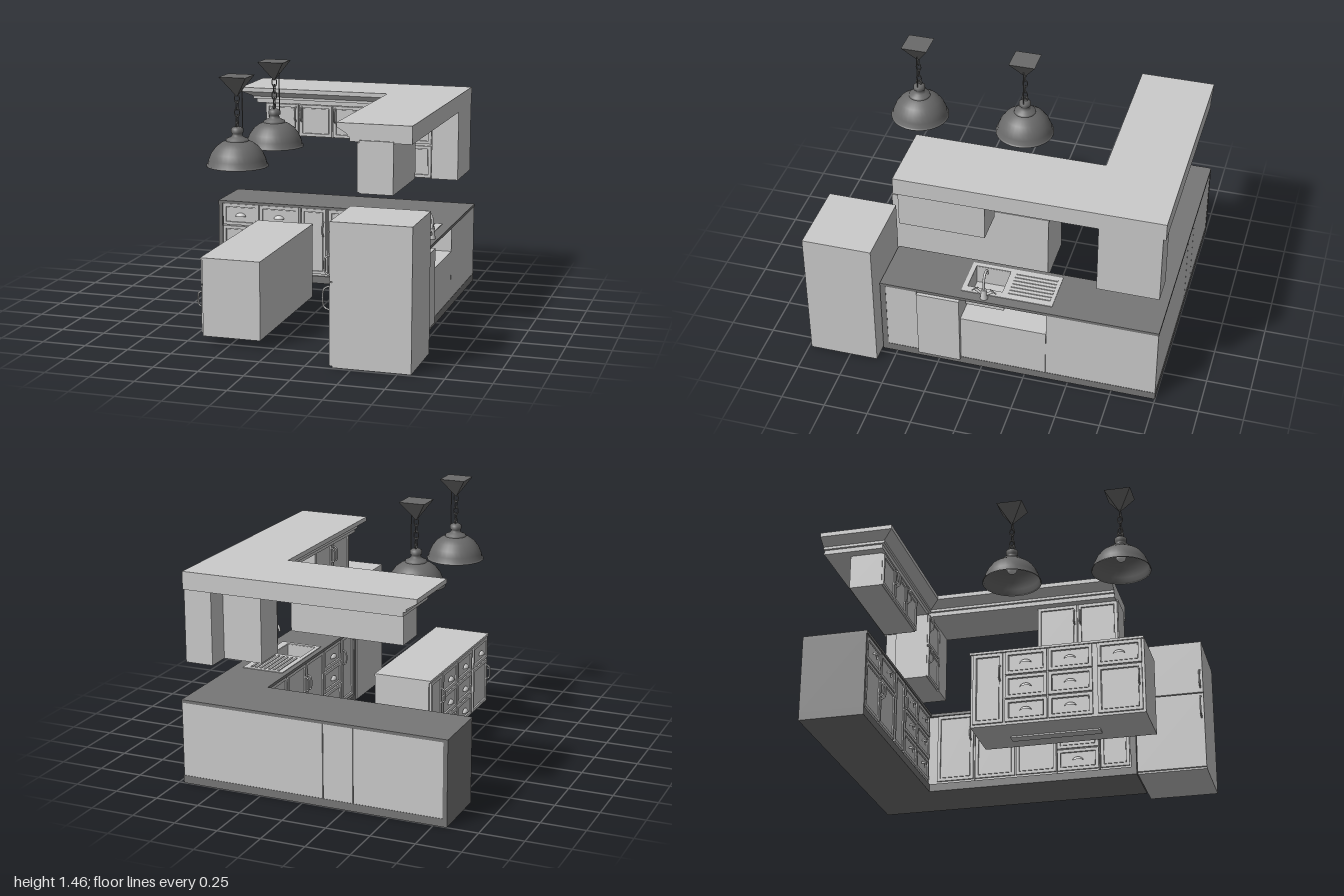
import * as THREE from 'three';

const light = new THREE.MeshStandardMaterial({ color: 0xcccccc });
const thin = new THREE.MeshStandardMaterial({ color: 0xcccccc, side: THREE.DoubleSide });
const dark = new THREE.MeshStandardMaterial({ color: 0x777777 });
const shadeMat = new THREE.MeshStandardMaterial({ color: 0x6a6a6a, side: THREE.DoubleSide });

function add(parent, name, geometry, material = light, x = 0, y = 0, z = 0) {
  const m = new THREE.Mesh(geometry, material);
  m.name = name;
  m.position.set(x, y, z);
  parent.add(m);
  return m;
}

// Box given by its limits on each axis
function box(parent, name, [x0, x1], [y0, y1], [z0, z1], material = light) {
  return add(parent, name, new THREE.BoxGeometry(x1 - x0, y1 - y0, z1 - z0), material,
    (x0 + x1) / 2, (y0 + y1) / 2, (z0 + z1) / 2);
}

function rectPath(x0, x1, y0, y1, Type = THREE.Path) {
  return new Type([[x0, y0], [x1, y0], [x1, y1], [x0, y1]].map(p => new THREE.Vector2(...p)));
}

// Horizontal slab from an outline of [x, z] points
function slab(parent, name, pts, y0, y1, material, holes = []) {
  const shape = new THREE.Shape(pts.map(([x, z]) => new THREE.Vector2(x, -z)));
  holes.forEach(([x0, x1, z0, z1]) => shape.holes.push(rectPath(x0, x1, -z1, -z0)));
  const g = new THREE.ExtrudeGeometry(shape, { depth: y1 - y0, bevelEnabled: false });
  return add(parent, name, g.rotateX(-Math.PI / 2), material, 0, y0, 0);
}

function cupHandle(parent, x, y) {
  const g = new THREE.SphereGeometry(1, 16, 6, 0, Math.PI, 0, Math.PI / 2).scale(0.033, 0.022, 0.022);
  add(parent, 'cupHandle', g, thin, x, y - 0.01, 0.012);
}

function barHandle(parent, x, y, h = 0.09, out = 0.025) {
  const pts = [[0, 0], [0.8, 0.12], [1, 0.5], [0.8, 0.88], [0, 1]]
    .map(([z, t]) => new THREE.Vector3(x, y + (t - 0.5) * h, 0.01 + z * out));
  add(parent, 'barHandle', new THREE.TubeGeometry(new THREE.CatmullRomCurve3(pts), 14, 0.005, 8), light);
}

// Framed door or drawer front, facing +z in its own space
function panelFront(parent, name, x0, x1, y0, y1, handle) {
  const w = 0.018, gap = 0.004;
  x0 += gap; x1 -= gap; y0 += gap; y1 -= gap;
  const shape = rectPath(x0, x1, y0, y1, THREE.Shape);
  shape.holes.push(rectPath(x0 + w, x1 - w, y0 + w, y1 - w));
  add(parent, name + 'Frame', new THREE.ExtrudeGeometry(shape, { depth: 0.012, bevelEnabled: false }));
  box(parent, name + 'Panel', [x0 + w + 0.004, x1 - w - 0.004], [y0 + w + 0.004, y1 - w - 0.004], [0, 0.007]);
  const cy = (y0 + y1) / 2;
  if (handle === 'cup') cupHandle(parent, (x0 + x1) / 2, cy);
  if (handle === 'left') barHandle(parent, x0 + 0.014, cy + (y1 - y0) * 0.2);
  if (handle === 'right') barHandle(parent, x1 - 0.014, cy + (y1 - y0) * 0.2);
}

// Group whose fronts face +z, or -x when turned (own x then runs along world z)
function face(parent, name, x, z, turned) {
  const g = new THREE.Group();
  g.name = name;
  g.position.set(x, 0, z);
  if (turned) g.rotation.y = -Math.PI / 2;
  parent.add(g);
  return g;
}

function drawerStack(f, x0, x1) {
  [[0.055, 0.19], [0.19, 0.33], [0.33, 0.47]].forEach(([a, b]) => panelFront(f, 'drawer', x0, x1, a, b, 'cup'));
}

function drawerOverDoor(f, x0, x1, side) {
  panelFront(f, 'drawer', x0, x1, 0.33, 0.47, 'cup');
  panelFront(f, 'door', x0, x1, 0.055, 0.33, side);
}

const lShape = (x0, x1, z0, z1, xi, zi) => [[x0, z0], [x1, z0], [x1, z1], [xi, z1], [xi, zi], [x0, zi]];

function baseUnits(root) {
  const g = new THREE.Group();
  g.name = 'baseUnits';
  root.add(g);
  slab(g, 'plinth', lShape(-0.825, 0.72, -1, 0.585, 0.385, -0.64), 0, 0.045, dark);
  slab(g, 'worktop', lShape(-0.825, 0.72, -1, 0.585, 0.38, -0.635), 0.468, 0.485, dark, [[0.43, 0.62, -0.1, 0.11]]);
  box(g, 'endPanel', [-0.825, -0.8], [0.045, 0.468], [-1, -0.64], dark);
  box(g, 'endPanel', [0.385, 0.72], [0.045, 0.468], [0.553, 0.585], dark);

  // Carcasses of the back run, then of the side run
  [[-0.8, -0.296], [-0.292, -0.122], [-0.118, 0.37], [0.37, 0.718]].forEach(r =>
    box(g, 'carcass', r, [0.045, 0.468], [-0.998, -0.652]));
  [[-0.652, -0.372], [0.374, 0.553]].forEach(r => box(g, 'carcass', [0.397, 0.718], [0.045, 0.468], r));
  box(g, 'drawerCarcass', [0.397, 0.738], [0.035, 0.465], [0.122, 0.368]);
  box(g, 'sinkCarcass', [0.397, 0.718], [0.045, 0.33], [-0.37, 0.12]);
  box(g, 'sinkApron', [0.397, 0.415], [0.33, 0.468], [-0.37, 0.12]);

  const back = face(g, 'backRunFronts', 0, -0.652);
  drawerOverDoor(back, -0.8, -0.56, 'right');
  drawerOverDoor(back, -0.56, -0.3, 'left');
  panelFront(back, 'pullOut', -0.29, -0.125, 0.055, 0.47, 'right');
  drawerStack(back, -0.115, 0.125);
  drawerStack(back, 0.125, 0.37);

  const side = face(g, 'sideRunFronts', 0.397, 0, true);
  panelFront(side, 'door', -0.6, -0.375, 0.055, 0.47, 'right');
  panelFront(side, 'door', -0.37, -0.125, 0.055, 0.47, 'right');
  panelFront(side, 'door', -0.125, 0.12, 0.055, 0.47, 'left');
  drawerStack(side, 0.12, 0.37);
  panelFront(side, 'door', 0.375, 0.55, 0.055, 0.47, 'left');
}

function sink(root) {
  const g = new THREE.Group();
  g.name = 'sink';
  root.add(g);
  const ring = (x0, x1, z0, z1) => [[x0, z0], [x1, z0], [x1, z1], [x0, z1]];
  slab(g, 'basinWalls', ring(0.424, 0.626, -0.106, 0.116), 0.37, 0.484, light, [[0.435, 0.615, -0.095, 0.105]]);
  box(g, 'basinFloor', [0.425, 0.625], [0.362, 0.372], [-0.105, 0.115]);
  slab(g, 'sinkRim', ring(0.41, 0.66, -0.39, 0.13), 0.485, 0.489, light, [[0.435, 0.615, -0.095, 0.105]]);
  for (let i = 0; i < 7; i++) {
    const x = 0.44 + i * 0.028;
    box(g, 'drainerRib', [x, x + 0.012], [0.489, 0.494], [-0.37, -0.13]);
  }
  // Tap with a tall curved spout and two levers
  const v = (x, y, z) => new THREE.Vector3(x, y, z);
  add(g, 'tapBase', new THREE.CylinderGeometry(0.014, 0.022, 0.06, 16), light, 0.685, 0.515, -0.01);
  const spout = new THREE.CatmullRomCurve3([v(0.685, 0.53, -0.01), v(0.685, 0.61, -0.01), v(0.66, 0.64, -0.01),
    v(0.62, 0.63, -0.01), v(0.61, 0.6, -0.01)]);
  add(g, 'tapSpout', new THREE.TubeGeometry(spout, 24, 0.007, 8), light);
  for (const s of [-1, 1]) {
    const arm = new THREE.LineCurve3(v(0.685, 0.505, -0.01), v(0.685, 0.54, -0.01 + s * 0.05));
    add(g, 'tapArm', new THREE.TubeGeometry(arm, 1, 0.008, 8), light);
    add(g, 'tapLever', new THREE.CylinderGeometry(0.004, 0.004, 0.045, 8), light, 0.685, 0.54, -0.01 + s * 0.052)
      .rotation.x = -s * 0.9;
  }
}

function wallUnits(root) {
  const g = new THREE.Group();
  g.name = 'wallUnits';
  root.add(g);
  box(g, 'backWallCabinet', [-0.52, 0.12], [0.91, 1.12], [-0.86, -0.672]);
  box(g, 'cornerCabinet', [0.305, 0.53], [0.7, 1.12], [-0.85, -0.652]);
  box(g, 'tallCornerCabinet', [0.53, 0.69], [0.7, 1.13], [-0.985, -0.64]);
  box(g, 'sideWallCabinet', [0.4, 0.59], [0.83, 1.12], [0.01, 0.5]);
  const back = face(g, 'backWallDoors', 0, -0.672);
  [-0.52, -0.307, -0.093].forEach((x, i) =>
    panelFront(back, 'door', x, x + 0.213, 0.91, 1.11, i ? 'left' : 'right'));
  const corner = face(g, 'cornerDoors', 0, -0.652);
  panelFront(corner, 'door', 0.305, 0.53, 0.7, 0.9, 'left');
  panelFront(corner, 'door', 0.305, 0.53, 0.905, 1.11, 'left');
  const side = face(g, 'sideWallDoors', 0.4, 0, true);
  panelFront(side, 'door', 0.01, 0.255, 0.83, 1.11, 'right');
  panelFront(side, 'door', 0.255, 0.5, 0.83, 1.11, 'left');

  // Cornice: top board, sloping moulding and lower fascia
  const outline = d => lShape(-0.65 + d, 0.69, -1, 0.49, 0.27 + d, -0.58 - d);
  slab(g, 'corniceTop', outline(0), 1.185, 1.21, light);
  slab(g, 'corniceStep', outline(0.06), 1.135, 1.15, light);
  slab(g, 'corniceFascia', outline(0.075), 1.11, 1.135, light);
  const top = outline(0), low = outline(0.06), pos = [];
  top.forEach((p, i) => {
    const j = (i + 1) % top.length;
    const [a, b] = [p, top[j]].map(([x, z]) => [x, 1.185, z]);
    const [c, d] = [low[j], low[i]].map(([x, z]) => [x, 1.15, z]);
    pos.push(...a, ...b, ...c, ...a, ...c, ...d);
  });
  const slope = new THREE.BufferGeometry();
  slope.setAttribute('position', new THREE.Float32BufferAttribute(pos, 3));
  slope.computeVertexNormals();
  add(g, 'corniceSlope', slope, thin);
}

function island(root) {
  const g = new THREE.Group();
  g.name = 'island';
  root.add(g);
  box(g, 'islandBody', [-0.398, -0.07], [0.045, 0.472], [-0.18, 0.78]);
  box(g, 'islandTop', [-0.41, -0.07], [0.47, 0.483], [-0.185, 0.78]);
  box(g, 'islandFoot', [-0.23, -0.17], [0.037, 0.045], [0, 0.5]);
  const f = face(g, 'islandFronts', -0.398, 0, true);
  panelFront(f, 'narrowDoor', -0.17, 0.005, 0.055, 0.47, 'right');
  drawerStack(f, 0.01, 0.25);
  drawerStack(f, 0.25, 0.5);
  drawerOverDoor(f, 0.52, 0.77, 'right');
}

function fridge(root) {
  const g = new THREE.Group();
  g.name = 'fridge';
  root.add(g);
  box(g, 'fridgeBody', [0.395, 0.82], [0, 0.78], [0.59, 0.985]);
  box(g, 'upperDoor', [0.38, 0.395], [0.463, 0.78], [0.59, 0.985]);
  box(g, 'lowerDoor', [0.38, 0.395], [0.01, 0.457], [0.59, 0.985]);
  const f = face(g, 'fridgeHandles', 0.39, 0, true);
  barHandle(f, 0.97, 0.545, 0.11, 0.03);
  barHandle(f, 0.97, 0.37, 0.13, 0.04);
}

function pendant(root, z) {
  const g = new THREE.Group();
  g.name = 'pendantLamp';
  g.position.set(-0.24, 0, z);
  root.add(g);
  const lathe = pts => new THREE.LatheGeometry(pts.map(p => new THREE.Vector2(...p)), 32);
  add(g, 'shade', lathe([[0.168, 0.973], [0.168, 0.98], [0.16, 0.982], [0.155, 1.01], [0.14, 1.045], [0.115, 1.078],
    [0.085, 1.1], [0.06, 1.11]]), shadeMat);
  add(g, 'lampNeck', lathe([[0.062, 1.108], [0.06, 1.12], [0.035, 1.13], [0.028, 1.14], [0.028, 1.15], [0.034, 1.155],
    [0.034, 1.175], [0.02, 1.185], [0, 1.187]]), shadeMat);
  add(g, 'bulb', new THREE.SphereGeometry(0.03, 16, 10), light, 0, 1.06, 0);
  add(g, 'hookRing', new THREE.TorusGeometry(0.015, 0.005, 6, 16), shadeMat, 0, 1.2, 0).rotation.y = Math.PI / 2;
  // Chain of alternating oval links
  for (let i = 0; i < 4; i++) {
    const link = add(g, 'chainLink', new THREE.TorusGeometry(0.014, 0.003, 6, 16).scale(1, 1.7, 1), shadeMat,
      0, 1.225 + i * 0.038, 0);
    link.rotation.y = i % 2 ? 0 : Math.PI / 2;
  }
  add(g, 'cord', new THREE.CylinderGeometry(0.003, 0.003, 0.22, 6), shadeMat, 0.03, 1.29, 0);
  // Inverted square pyramid at the ceiling
  const rose = new THREE.CylinderGeometry(0.075 * Math.SQRT2, 0.003, 0.11, 4, 1).rotateY(Math.PI / 4).toNonIndexed();
  rose.computeVertexNormals();
  add(g, 'ceilingRose', rose, shadeMat, 0, 1.405, 0);
}

export function createModel() {
  const root = new THREE.Group();
  root.name = 'kitchen';
  baseUnits(root);
  sink(root);
  wallUnits(root);
  island(root);
  fridge(root);
  [0.01, 0.64].forEach(z => pendant(root, z));
  return root;
}
